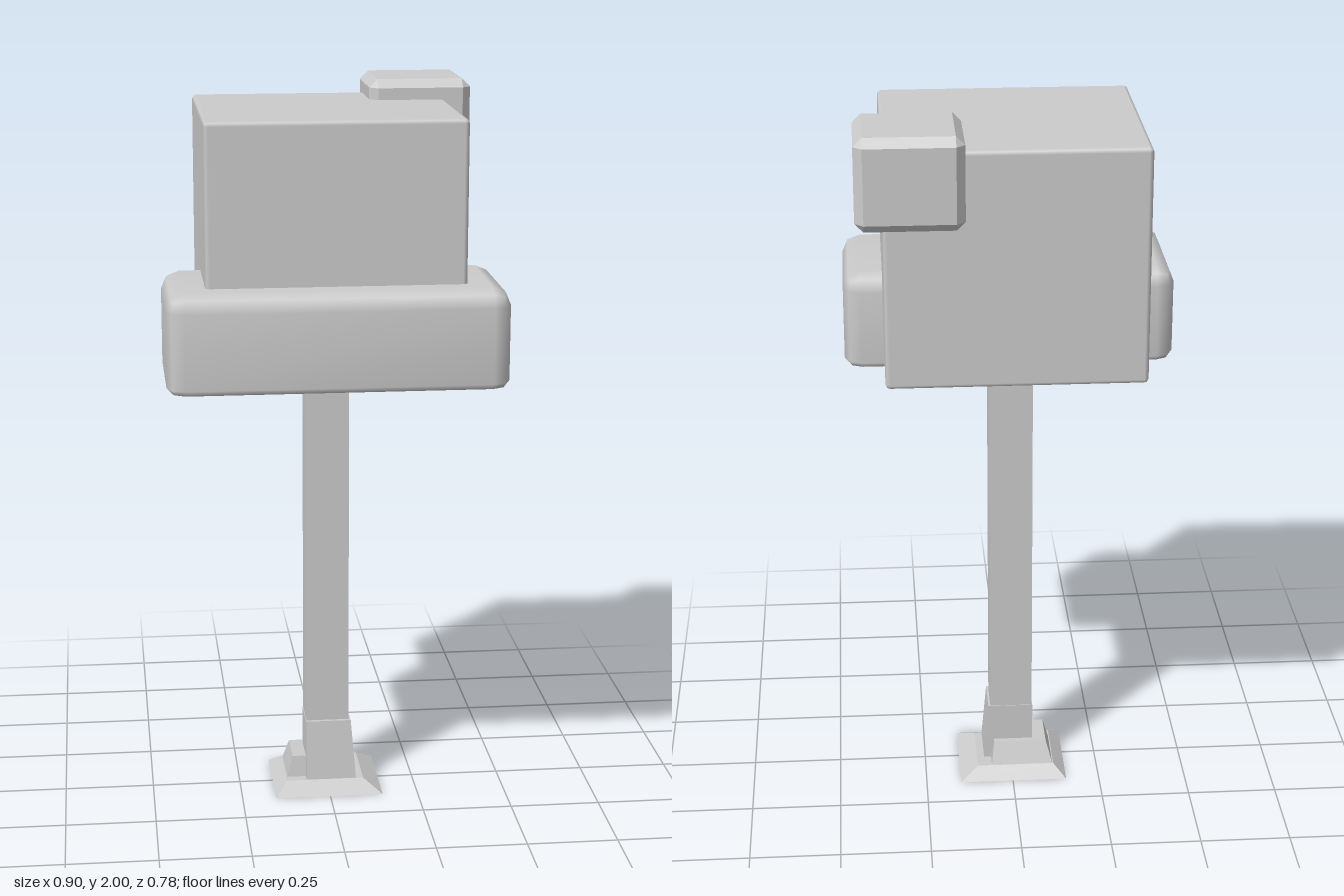
import * as THREE from 'three';
import { mergeVertices } from 'three/addons/utils/BufferGeometryUtils.js';
import { RoundedBoxGeometry } from 'three/addons/geometries/RoundedBoxGeometry.js';
import { ConvexGeometry } from 'three/addons/geometries/ConvexGeometry.js';

const smooth = new THREE.MeshStandardMaterial({ color: 0xcccccc });
const flat = new THREE.MeshStandardMaterial({ color: 0xcccccc, flatShading: true });

// Ranges are [min, max]
const size = ([a, b]) => b - a;
const mid = ([a, b]) => (a + b) / 2;

function part(name, geometry, material) {
  const mesh = new THREE.Mesh(geometry, material);
  mesh.name = name;
  return mesh;
}

// Tapered block: a box whose lower and upper rectangles differ
function taper(name, y, lower, upper) {
  const geo = new THREE.BoxGeometry(1, 1, 1);
  const p = geo.attributes.position;
  for (let i = 0; i < p.count; i++) {
    const top = p.getY(i) > 0;
    const rect = top ? upper : lower;
    p.setXYZ(i, rect.x[p.getX(i) > 0 ? 1 : 0], y[top ? 1 : 0], rect.z[p.getZ(i) > 0 ? 1 : 0]);
  }
  geo.computeVertexNormals();
  return part(name, geo, flat);
}

function roundedBlock(x, y, z, radius) {
  return new RoundedBoxGeometry(size(x), size(y), size(z), 1, radius);
}

// Box with a single flat chamfer on every edge
function chamferedBlock(x, y, z, c) {
  const half = [size(x) / 2, size(y) / 2, size(z) / 2];
  const points = [];
  for (const sx of [-1, 1]) for (const sy of [-1, 1]) for (const sz of [-1, 1]) {
    for (let axis = 0; axis < 3; axis++) {
      const h = half.map((v, i) => (i === axis ? v : v - c));
      points.push(new THREE.Vector3(sx * h[0], sy * h[1], sz * h[2]));
    }
  }
  return new ConvexGeometry(points);
}

export function createModel() {
  const tree = new THREE.Group();
  tree.name = 'blockTree';

  // Trunk, its flared foot, the low root and the spreading base
  const trunk = { x: [-0.06, 0.06], z: [-0.06, 0.045] };
  tree.add(taper('trunk', [0.02, 1.4], trunk, trunk));
  tree.add(taper('trunkFlare', [0.02, 0.2],
    { x: [-0.062, 0.08], z: [-0.062, 0.076] }, { x: [-0.062, 0.066], z: [-0.062, 0.055] }));
  tree.add(taper('lowRoot', [0.02, 0.09],
    { x: [-0.12, 0.06], z: [-0.11, 0.05] }, { x: [-0.1, 0.05], z: [-0.08, 0.04] }));
  tree.add(taper('base', [0, 0.03],
    { x: [-0.155, 0.15], z: [-0.15, 0.13] }, { x: [-0.12, 0.1], z: [-0.11, 0.076] }));

  // Main foliage block with very fine edges
  const mx = [-0.345, 0.345], my = [1.305, 1.945], mz = [-0.322, 0.296];
  const main = part('mainFoliage', roundedBlock(mx, my, mz, 0.012), smooth);
  main.position.set(mid(mx), mid(my), mid(mz));
  tree.add(main);

  // Wide lower foliage: soft edges, with a tighter rounding underneath
  const lx = [-0.452, 0.452], ly = [1.24, 1.512], lz = [-0.016, 0.39], r = 0.048;
  let geo = roundedBlock(lx, ly, lz, r);
  const p = geo.attributes.position, bottom = -size(ly) / 2;
  for (let i = 0; i < p.count; i++) {
    const rise = p.getY(i) - bottom;
    if (rise < r + 1e-4) p.setY(i, bottom + rise * 0.45);
  }
  geo.deleteAttribute('normal');
  geo.deleteAttribute('uv');
  geo = mergeVertices(geo, 1e-4);
  geo.computeVertexNormals();
  const lower = part('lowerFoliage', geo, smooth);
  lower.position.set(mid(lx), mid(ly), mid(lz));
  tree.add(lower);

  // Small foliage block on the upper back corner
  const sx = [0.135, 0.415], sy = [1.755, 2], sz = [-0.395, -0.127];
  const small = part('smallFoliage', chamferedBlock(sx, sy, sz, 0.023), flat);
  small.position.set(mid(sx), mid(sy), mid(sz));
  tree.add(small);

  return tree;
}
